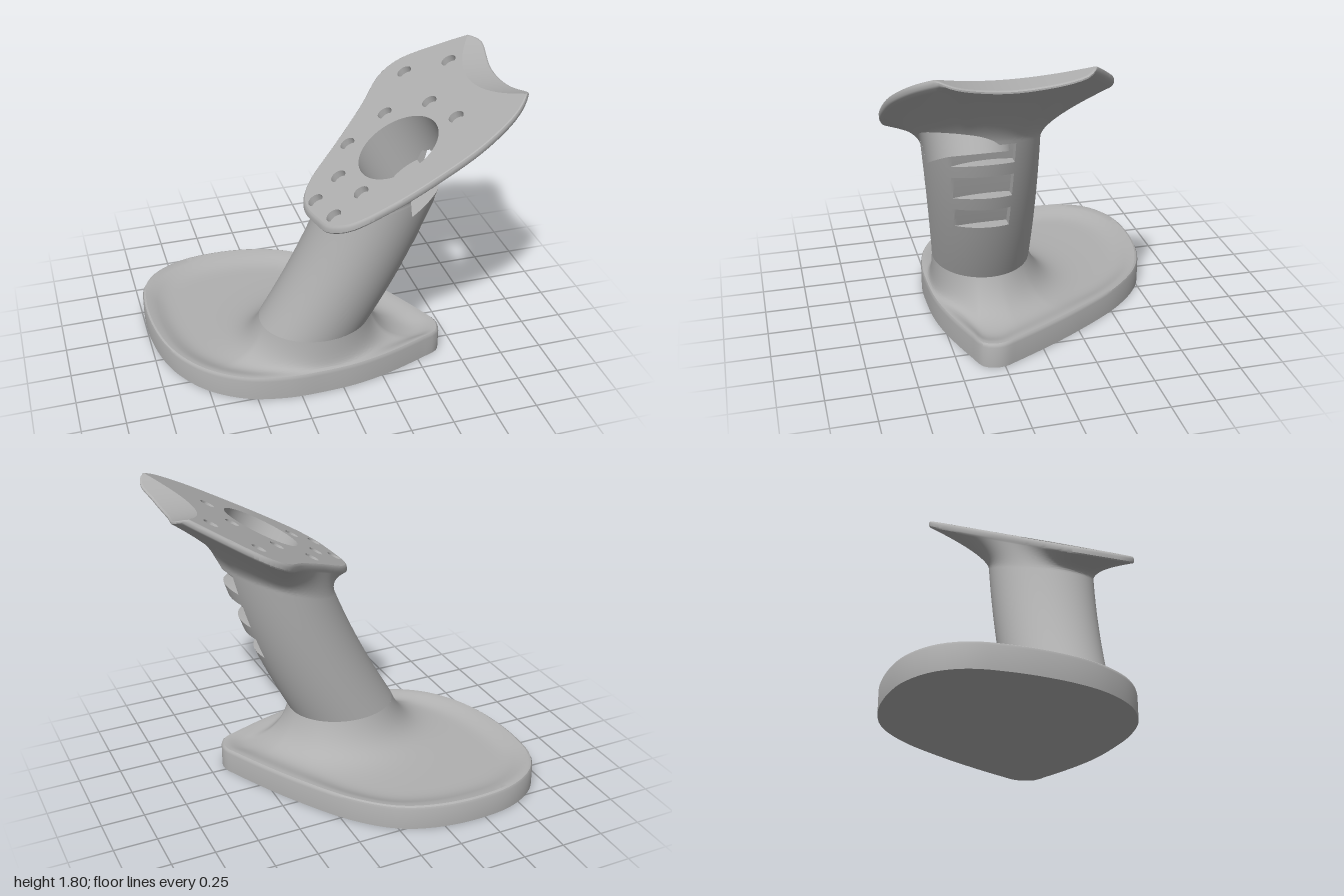
import * as THREE from 'three';
import { toCreasedNormals } from 'three/addons/utils/BufferGeometryUtils.js';

const V = (x, y, z) => new THREE.Vector3(x, y, z);
const N = 160, TAU = Math.PI * 2;
const lerp = THREE.MathUtils.lerp;

// ---------- helpers ----------
// Triangles between successive rows of points
function grid(rows) {
  const tris = [];
  const add = (a, b, c) => {
    const area = b.clone().sub(a).cross(c.clone().sub(a)).lengthSq();
    if (area > 1e-14) tris.push([a, b, c]);
  };
  for (let i = 0; i + 1 < rows.length; i++) {
    for (let j = 0; j + 1 < rows[i].length; j++) {
      const a = rows[i][j], b = rows[i][j + 1], c = rows[i + 1][j], d = rows[i + 1][j + 1];
      add(a, c, b);
      add(b, c, d);
    }
  }
  return tris;
}

// Keep only the portion of each triangle where f > 0
function clip(tris, f) {
  const out = [];
  for (const t of tris) {
    const v = t.map(f), poly = [];
    for (let i = 0; i < 3; i++) {
      const k = (i + 1) % 3;
      if (v[i] > 0) poly.push(t[i]);
      if ((v[i] > 0) !== (v[k] > 0)) poly.push(t[i].clone().lerp(t[k], v[i] / (v[i] - v[k])));
    }
    for (let i = 1; i + 1 < poly.length; i++) out.push([poly[0], poly[i], poly[i + 1]]);
  }
  return out;
}

function meshOf(name, tris, material, crease = 0.6) {
  const g = new THREE.BufferGeometry().setFromPoints(tris.flat());
  const mesh = new THREE.Mesh(toCreasedNormals(g, crease), material);
  mesh.name = name;
  return mesh;
}

// Closed smooth outline, returned as distance from (cx, cz) for an angle
function polarOutline(pts, cx, cz) {
  const curve = new THREE.CatmullRomCurve3(pts.map(([x, z]) => V(x - cx, 0, z - cz)), true);
  const p = curve.getPoints(400);
  return (th) => {
    const c = Math.cos(th), s = Math.sin(th);
    for (let i = 0; i + 1 < p.length; i++) {
      const a = p[i], b = p[i + 1];
      const ca = c * a.z - s * a.x, cb = c * b.z - s * b.x;
      if (ca * cb <= 0 && ca !== cb) {
        const k = ca / (ca - cb), r = lerp(a.x, b.x, k) * c + lerp(a.z, b.z, k) * s;
        if (r > 0) return r;
      }
    }
    return 0.5;
  };
}
const ringOf = (fn, n = N) => Array.from({ length: n + 1 }, (_, j) => fn((j % n) / n * TAU));

// ---------- leaning column ----------
const cx = (y) => -0.085 + 0.56 * (y - 0.33) - 0.14 * (y - 0.33) ** 2;
const zc = (y) => 0.225 + 0.08 * (y - 0.33);
const rx = (y) => 0.325 - 0.03 * (y - 0.33);
const rz = (y) => 0.285 + 0.043 * (y - 0.33);
const slotWall = (y) => cx(y) + rx(y) - 0.075;
const SLOT_Z = 0.17;
const slots = [[0.45, 0.58], [0.66, 0.80], [0.87, 0.98]];
function column(th, t) {
  const y = 0.33 + 0.87 * t + 0.13 * t * t * Math.cos(th);
  return V(cx(y) + rx(y) * Math.cos(th), y, zc(y) + rz(y) * Math.sin(th));
}

// ---------- tilted head ----------
const SLOPE = 0.568, plane = (x) => 1.272 + SLOPE * x;
const normal = V(-SLOPE, 1, 0).normalize();
const scoop = (z) => 1.715 + 0.54 * (z - 0.25) ** 2;
const scoopX = (z) => (scoop(z) - 1.272) / SLOPE;
const HX = 0.36, HZ = 0.29;
const headR = polarOutline([[-0.185, 0.4], [-0.165, 0.56], [-0.14, 0.66], [-0.05, 0.76], [0.15, 0.815],
  [0.4, 0.83], [0.65, 0.81], [0.85, 0.73], [0.95, 0.62], [0.97, 0.56], [0.95, 0.4], [0.95, 0.15],
  [0.99, -0.09], [0.97, -0.12], [0.8, -0.24], [0.62, -0.34], [0.55, -0.35], [0.46, -0.32],
  [0.3, -0.15], [0.1, 0.03], [-0.1, 0.2], [-0.165, 0.3]], HX, HZ);
function rim(th, scale, drop) {
  const r = headR(th) * scale, x = HX + r * Math.cos(th), z = HZ + r * Math.sin(th);
  return V(x, Math.min(plane(x) - drop, scoop(z) - drop * 0.4), z);
}

// Column for u in 0..1, flare under the head for u in 1..2
function surface(th, u) {
  if (u <= 1) return column(th, u);
  const a = column(th, 1), s = 0.09 + 0.04 * Math.cos(th);
  const b = V(a.x + s * (0.56 - 0.28 * (a.y - 0.33)), a.y + s, a.z);
  return new THREE.QuadraticBezierCurve3(a, b, rim(th, 0.99, 0.045)).getPoint(u - 1);
}

// ---------- big blind bore ----------
const BORE = { x: 0.325, z: 0.41, r: 0.235, depth: 0.3 };
const boreTop = V(BORE.x, plane(BORE.x), BORE.z);
function outsideBore(p) {
  const d = p.clone().sub(boreTop), depth = -d.dot(normal);
  return Math.max(d.addScaledVector(normal, depth).length() - BORE.r, depth - BORE.depth);
}
// Positive inside the solid of column and flare
function insideBody(p) {
  const { x, y, z } = p, dx = x - cx(y), dz = z - zc(y);
  const th = Math.atan2(dz / rz(y), dx / rx(y));
  let lo = 0, hi = 2;
  for (let i = 0; i < 18; i++) {
    const m = (lo + hi) / 2;
    if (surface(th, m).y < y) lo = m; else hi = m;
  }
  const s = surface(th, lo);
  const d = Math.hypot(s.x - cx(y), s.z - zc(y)) - Math.hypot(dx, dz);
  const inSlot = z > SLOT_Z && slots.some(([a, b]) => lo > a && lo < b);
  return inSlot ? Math.min(d, slotWall(y) - x) : d;
}

// Round recess sunk square to the head: wall rings, then the floor
function recess(x0, z0, r, depth, n, steps) {
  const ring = (radius, d) => ringOf((th) => {
    const x = x0 + radius * Math.cos(th) * normal.y;
    return V(x, plane(x), z0 + radius * Math.sin(th)).addScaledVector(normal, -d);
  }, n);
  const rows = [];
  for (let i = 0; i <= steps; i++) rows.push(ring(r, depth * i / steps));
  for (let i = steps - 1; i >= 0; i--) rows.push(ring(r * i / steps, depth));
  return grid(rows);
}

export function createModel() {
  const group = new THREE.Group();
  const grey = new THREE.MeshStandardMaterial({ color: 0xb0b0b0 });
  grey.name = 'plain grey';

  // Teardrop foot with a raised rim and a fillet up to the column
  const FX = -0.085, FZ = 0.225;
  const footR = polarOutline([[0.665, 0.31], [0.635, 0.37], [0.55, 0.405], [0.3, 0.49], [0.1, 0.535], [-0.1, 0.55],
    [-0.32, 0.545], [-0.55, 0.49], [-0.75, 0.36], [-0.88, 0.19], [-0.95, 0.02], [-0.99, -0.2], [-0.995, -0.4],
    [-0.97, -0.57], [-0.88, -0.71], [-0.7, -0.81], [-0.45, -0.84], [-0.2, -0.81], [0, -0.73], [0.2, -0.55],
    [0.4, -0.26], [0.53, -0.03], [0.63, 0.17], [0.665, 0.25]], FX, FZ);
  const footRow = (scale, y) => ringOf((th) =>
    V(FX + scale * footR(th) * Math.cos(th), y, FZ + scale * footR(th) * Math.sin(th)));
  const footRows = [footRow(0, 0), footRow(1, 0), footRow(1, 0.125), footRow(0.994, 0.139)];
  for (let i = 0; i <= 30; i++) {
    const k = 1 - (1 - i / 30) ** 1.5;
    footRows.push(ringOf((th) => {
      const c = Math.cos(th), s = Math.sin(th);
      const inner = 1 / Math.hypot(c / 0.325, s / 0.285), outer = footR(th) * 0.982;
      const gap = Math.max(outer - inner, 0.005), d = gap * (1 - k), e = gap * k;
      const fillet = Math.exp(-d / Math.min(0.09, gap / 4));
      const y = 0.1 + 0.23 * fillet + 0.045 * Math.exp(-((e / 0.1) ** 2)) * (1 - fillet);
      return V(FX + (inner + d) * c, y, FZ + (inner + d) * s);
    }));
  }
  group.add(meshOf('foot', grid(footRows), grey));

  // Column and flared head; rows start at the slot side wall so its step is crisp
  const startAngle = (u) => {
    const t = Math.min(u, 1), y = 0.33 + 0.87 * t + 0.12 * t * t;
    return Math.asin((SLOT_Z - zc(y)) / rz(y));
  };
  const bodyRow = (fn, u, cut) => {
    const row = [];
    for (let j = 0; j <= N + 1; j++) {
      const p = fn(startAngle(u) + (j > N ? 0 : j) / N * TAU);
      if (cut && j !== N && p.z > SLOT_Z - 1e-2 && p.x > slotWall(p.y) && j < N / 2 | j > N) p.x = slotWall(p.y);
      row.push(p);
    }
    return row;
  };
  const bodyRows = [];
  const addRows = (a, b, n, cut) => {
    for (let i = 0; i <= n; i++) {
      const u = lerp(a, b, i / n);
      bodyRows.push(bodyRow((th) => surface(th, u), u, cut));
    }
  };
  let from = 0;
  for (const [a, b] of slots) {
    addRows(from, a, 8, false);
    addRows(a, b, 6, true);
    from = b;
  }
  addRows(from, 1, 2, false);
  addRows(1.03, 2, 24, false);
  for (const [scale, drop] of [[1, 0.035], [1, 0.014], [0.993, 0.004], [0.982, 0]]) {
    bodyRows.push(bodyRow((th) => rim(th, scale, drop), 2, false));
  }
  group.add(meshOf('columnAndFlare', clip(grid(bodyRows), outsideBore), grey));

  // Scooped notch at the high end of the head
  const edge = bodyRows[bodyRows.length - 1];
  const clamped = edge.map((p) => V(Math.min(p.x, scoopX(p.z)), p.y, p.z));
  group.add(meshOf('scoopedNotch', grid([edge, clamped]), grey));

  // Flat head face with the bore and the screw holes
  const screws = [[0.57, -0.19], [0.77, -0.03], [0.37, 0.06], [0.14, 0.11], [0.57, 0.21],
    [0.02, 0.33], [-0.128, 0.4], [0.62, 0.47], [0.07, 0.57], [-0.09, 0.61]];
  const SR = 0.043;
  const face = new THREE.Shape(clamped.slice(0, N).map((p) => new THREE.Vector2(p.x, -p.z)));
  const cutHole = (x, z, r, n) => face.holes.push(new THREE.Path(ringOf((th) =>
    new THREE.Vector2(x + r * normal.y * Math.cos(th), -z - r * Math.sin(th)), n).slice(0, n)));
  cutHole(BORE.x, BORE.z, BORE.r, 96);
  screws.forEach(([x, z]) => cutHole(x, z, SR, 24));
  const faceGeo = new THREE.ShapeGeometry(face);
  const pos = faceGeo.attributes.position;
  for (let i = 0; i < pos.count; i++) {
    const x = pos.getX(i), z = -pos.getY(i);
    pos.setXYZ(i, x, plane(x), z);
  }
  faceGeo.computeVertexNormals();
  const faceMesh = new THREE.Mesh(faceGeo, grey);
  faceMesh.name = 'headFace';
  group.add(faceMesh);

  // Bore wall and floor, opened where they leave the column
  group.add(meshOf('bore', clip(recess(BORE.x, BORE.z, BORE.r, BORE.depth, 96, 24), insideBody), grey));
  screws.forEach(([x, z]) => group.add(meshOf('screwHole', recess(x, z, SR, 0.04, 24, 1), grey)));
  return group;
}
